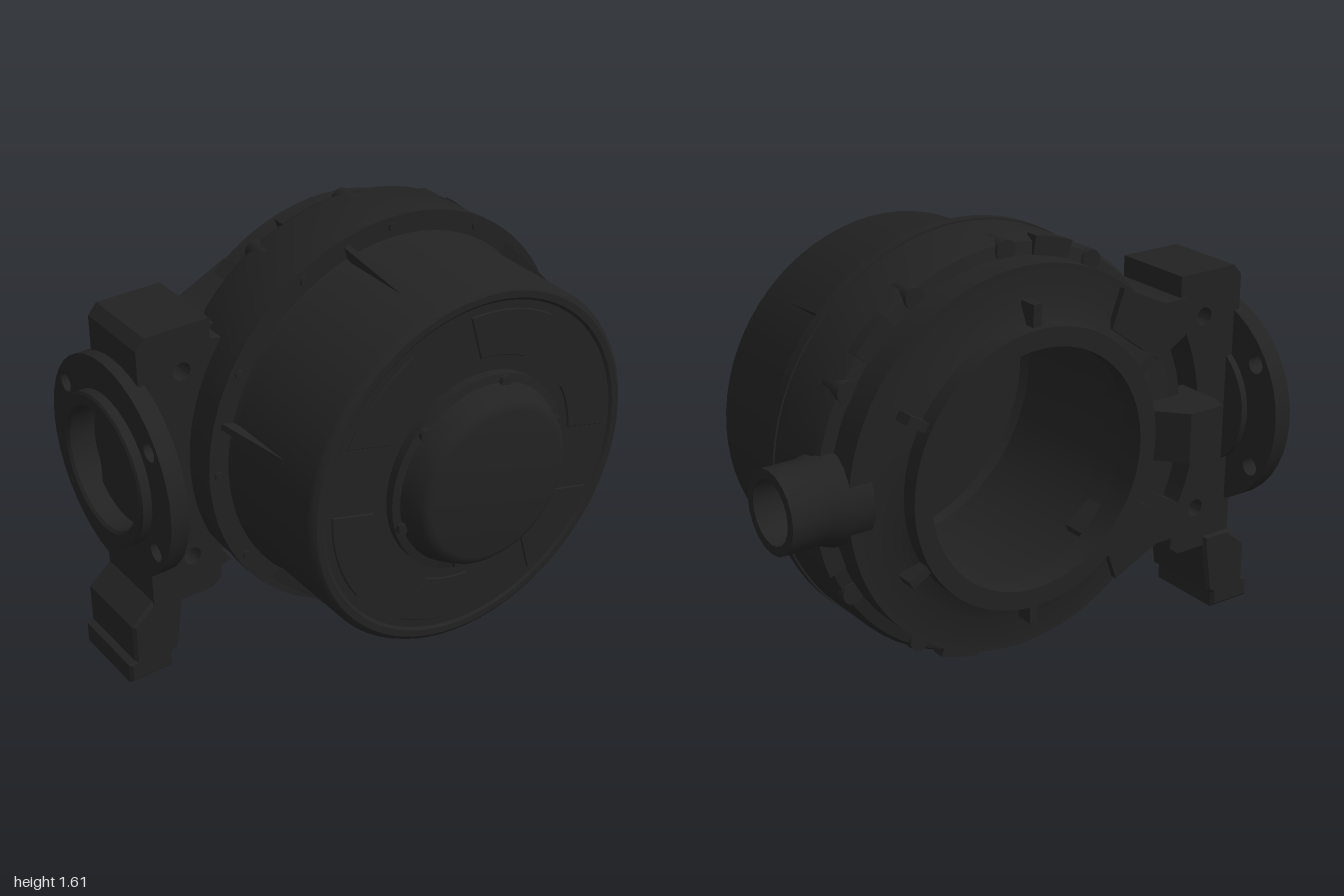
import * as THREE from 'three';
import { toCreasedNormals } from 'three/addons/utils/BufferGeometryUtils.js';

const CX = 0.08, CY = 0.83, PZ = -0.24; // drum axis and side port depth
const V = (a) => a.map(([x, y]) => new THREE.Vector2(x, y));
const rad = THREE.MathUtils.degToRad;

export function createModel() {
  const root = new THREE.Group();
  root.name = 'housing';
  const material = new THREE.MeshStandardMaterial({ color: 0x222222 });

  const add = (name, geometry, parent = root) => {
    const mesh = new THREE.Mesh(toCreasedNormals(geometry, 0.55), material);
    mesh.name = name;
    parent.add(mesh);
    return mesh;
  };
  const extrude = (shape, depth, z = 0, bevel = 0) => {
    const g = new THREE.ExtrudeGeometry(shape, {
      depth: depth - 2 * bevel, curveSegments: 20, bevelEnabled: bevel > 0,
      bevelSize: bevel, bevelThickness: bevel, bevelOffset: -bevel, bevelSegments: 1,
    });
    return g.translate(0, 0, z + bevel);
  };
  const circlePath = (x, y, r) => new THREE.Path().absarc(x, y, r, 0, Math.PI * 2, true);

  // Everything in the drum group is placed around the drum axis
  const drum = new THREE.Group();
  drum.name = 'drum';
  drum.position.set(CX, CY, 0);
  root.add(drum);
  const around = (name, count, start, make) => {
    for (let i = 0; i < count; i++) add(name, make(), drum).rotation.z = rad(start + i * 360 / count);
  };

  // Hollow shell: inside floor, back opening, stepped outside, front face
  add('shell', new THREE.LatheGeometry(V([
    [0, 0.46], [0.61, 0.46], [0.63, 0.43], [0.63, -0.1], [0.58, -0.12], [0.58, -0.33], [0.47, -0.35],
    [0.47, -0.4], [0.445, -0.41], [0.445, -0.48], [0.515, -0.48], [0.515, -0.415], [0.58, -0.385],
    [0.71, -0.385], [0.71, -0.27], [0.755, -0.26], [0.77, -0.23], [0.77, -0.005],
    [0.777, -0.005], [0.777, 0.036], [0.70, 0.036], [0.69, 0.06], [0.688, 0.495], [0.68, 0.51], [0.665, 0.52],
    [0.64, 0.52], [0.63, 0.512], [0.39, 0.512], [0, 0.512],
  ]), 72).rotateX(Math.PI / 2), drum);

  // Domed hub cap on the front
  add('hubCap', new THREE.LatheGeometry(V([
    [0.375, 0.5], [0.375, 0.545], [0.345, 0.55], [0.335, 0.58], [0.315, 0.625],
    [0.3, 0.64], [0.28, 0.645], [0, 0.645],
  ]), 56).rotateX(Math.PI / 2), drum);
  around('hubScrew', 6, 15, () =>
    new THREE.CylinderGeometry(0.022, 0.022, 0.05, 10).rotateX(Math.PI / 2).translate(0.35, 0, 0.54));

  // Six shallow panels on the front face
  const panel = new THREE.Shape();
  panel.absarc(0, 0, 0.6, rad(-18), rad(18), false);
  panel.absarc(0, 0, 0.43, rad(13), rad(-13), true);
  panel.closePath();
  around('facePanel', 6, 15, () => extrude(panel, 0.016, 0.502, 0.003));

  // Tapered ribs along the front drum
  const rib = new THREE.Shape(V([[0.67, -0.01], [0.748, -0.01], [0.745, -0.04], [0.69, -0.33], [0.67, -0.33]]));
  around('drumRib', 6, 45, () =>
    new THREE.ExtrudeGeometry(rib, { depth: 0.022, bevelEnabled: false })
      .translate(0, 0, -0.011).rotateX(-Math.PI / 2).scale(1, 1, 1));

  // Bolts and bosses on the rim
  around('rimBolt', 12, 0, () =>
    new THREE.CylinderGeometry(0.017, 0.017, 0.03, 8).rotateX(Math.PI / 2).translate(0.74, 0, 0.03));
  around('rimBoss', 12, 0, () =>
    new THREE.CylinderGeometry(0.04, 0.04, 0.1, 12).rotateX(Math.PI / 2).translate(0.733, 0, -0.225));

  // Clamp pads spaced along the rim
  const pad = new THREE.Shape();
  pad.absarc(0, 0, 0.777, rad(-6), rad(6), false);
  pad.absarc(0, 0, 0.7, rad(6), rad(-6), true);
  around('rimPad', 6, 45, () => extrude(pad, 0.05, -0.28));

  // Lugs round the back opening
  around('openingLug', 6, 30, () => new THREE.BoxGeometry(0.11, 0.035, 0.07).translate(0.54, 0, -0.42));

  // Hollow side outlet
  add('outletPipe', new THREE.LatheGeometry(V([
    [0.17, 0.7], [0.17, 0.8], [0.15, 0.855], [0.15, 1], [0.115, 1], [0.115, 0.72], [0, 0.72],
  ]), 20).rotateZ(-Math.PI / 2).translate(0, CY, PZ));

  // Side bracket, curved to clear the drum, with two through holes
  const a = rad(36);
  const bracket = new THREE.Shape(V([
    [-0.6, 1.30], [-0.6, 1.38], [-0.85, 1.38], [-0.885, 1.34], [-0.885, 0.28], [-0.64, 0.28], [-0.6, 0.31], [-0.6, 0.36],
  ]));
  bracket.absarc(CX, CY, 0.784, Math.PI + a, Math.PI - a, true);
  bracket.closePath();
  for (const y of [1.21, 0.45]) bracket.holes.push(circlePath(-0.715, y, 0.034));
  add('sideBracket', extrude(bracket, 0.32, -0.4));

  // Arms that tie the bracket to the drum, mirrored about the axis height
  for (const s of [1, -1]) {
    const pts = [[-0.62, 0.47], [-0.52, 0.47], [-0.33, 0.56], [-0.28, 0.42], [-0.5, 0.26], [-0.62, 0.33]]
      .map(([x, y]) => [x, CY + s * y]);
    add('bracketArm', extrude(new THREE.Shape(V(pts)), 0.24, -0.41));
  }

  // Chamfered block behind the bracket
  const block = new THREE.Shape(V([[-0.7, 0.32], [-0.42, 0.32], [-0.42, 0.44], [-0.475, 0.5], [-0.53, 0.56], [-0.68, 0.56], [-0.7, 0.5]]));
  add('rearBlock', extrude(block, 0.19).rotateX(-Math.PI / 2).translate(0, 0.735, 0));

  // Round side flange with bolt holes and a raised bored ring, facing -x
  const flange = new THREE.Shape().absarc(PZ, CY, 0.41, 0, Math.PI * 2, false);
  for (let i = 0; i < 8; i++) {
    const t = rad(35 + [0, 110, 180, 290][i % 4]);
    if (i < 4) flange.holes.push(circlePath(PZ + 0.352 * Math.cos(t), CY + 0.352 * Math.sin(t), 0.035));
  }
  flange.holes.push(circlePath(PZ, CY, 0.23));
  add('sideFlange', extrude(flange, 0.07).rotateY(-Math.PI / 2).translate(-0.86, 0, 0));
  add('flangeRing', new THREE.LatheGeometry(V([
    [0.285, 0.9], [0.285, 0.965], [0.275, 0.972], [0.24, 0.972], [0.23, 0.962], [0.23, 0.865], [0, 0.865],
  ]), 40).rotateZ(Math.PI / 2).translate(0, CY, PZ));
  add('flangeBack', new THREE.CylinderGeometry(0.26, 0.26, 0.03, 40).rotateZ(Math.PI / 2).translate(-0.848, CY, PZ));

  // Stepped foot under the bracket
  const foot = new THREE.Shape(V([
    [-1, 0], [-0.82, 0], [-0.82, 0.06], [-0.795, 0.075], [-0.765, 0.27], [-0.76, 0.32],
    [-0.88, 0.32], [-0.975, 0.24], [-0.975, 0.09], [-1, 0.08],
  ]));
  add('foot', extrude(foot, 0.33, -0.41, 0.012));

  return root;
}
